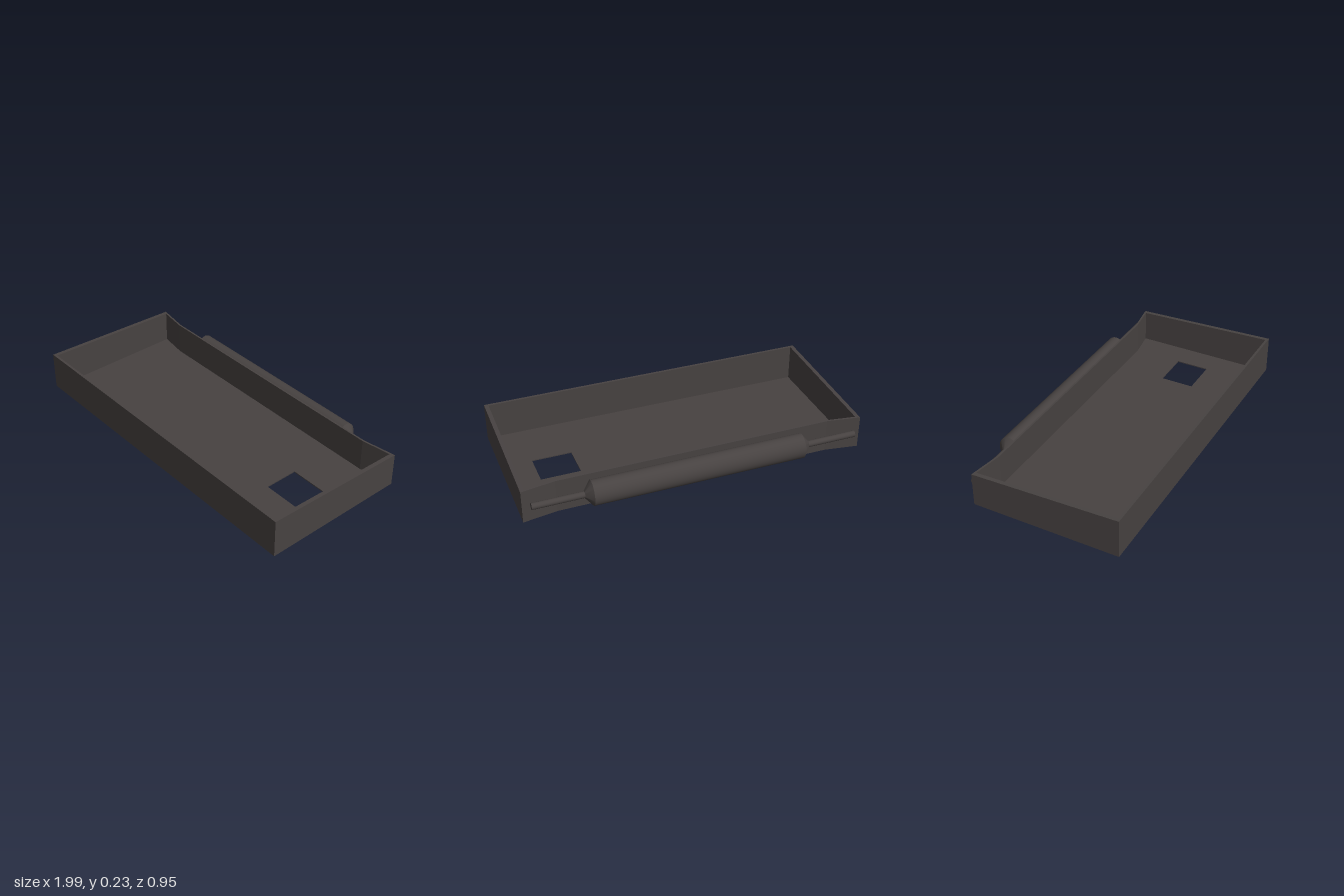
import * as THREE from 'three';
import { toCreasedNormals } from 'three/addons/utils/BufferGeometryUtils.js';

const FRONT = 0.474, BACK = -0.392;

// Mirrors a half outline (x > 0, front to back) into a closed loop of plan points
function loop(half) {
  const right = half.map(([x, z]) => new THREE.Vector2(x, -z));
  const left = half.map(([x, z]) => new THREE.Vector2(-x, -z)).reverse();
  return [...right, ...left];
}

// Raises a plan shape between two heights, each given at the front and the back
function raise(shape, bottom, top) {
  const geo = new THREE.ExtrudeGeometry(shape, { depth: 1, bevelEnabled: false });
  geo.rotateX(-Math.PI / 2);
  const p = geo.attributes.position;
  for (let i = 0; i < p.count; i++) {
    const t = (FRONT - p.getZ(i)) / (FRONT - BACK);
    const lo = THREE.MathUtils.lerp(bottom[0], bottom[1], t);
    const hi = THREE.MathUtils.lerp(top[0], top[1], t);
    p.setY(i, THREE.MathUtils.lerp(lo, hi, p.getY(i)));
  }
  geo.computeVertexNormals();
  return geo;
}

export function createModel() {
  const group = new THREE.Group();
  const charcoal = new THREE.MeshStandardMaterial({ color: 0x474241 });
  charcoal.name = 'charcoal';

  const add = (name, geo) => {
    const mesh = new THREE.Mesh(geo, charcoal);
    mesh.name = name;
    group.add(mesh);
    return mesh;
  };

  // Tray walls: flared back corners, lower towards the back
  const outer = loop([[0.995, FRONT], [0.995, BACK], [0.8, -0.361]]);
  const inner = loop([[0.971, 0.459], [0.971, -0.376], [0.8, -0.35]]);
  const wallShape = new THREE.Shape(outer);
  wallShape.holes.push(new THREE.Path(inner));
  add('trayWalls', raise(wallShape, [0, 0.008], [0.227, 0.205]));

  // Thin floor with a rectangular opening
  const floorShape = new THREE.Shape(inner);
  floorShape.holes.push(new THREE.Path([
    [0.58, -0.14], [0.58, 0.06], [0.812, 0.06], [0.812, -0.14],
  ].map(([x, y]) => new THREE.Vector2(x, y))));
  add('trayFloor', raise(floorShape, [0, 0.008], [0.006, 0.014]));

  // Roller behind the tray: slightly oval body with tapered ends
  const profile = [[0, -0.657], [0.02, -0.657], [0.073, -0.615],
    [0.073, 0.62], [0.02, 0.662], [0, 0.662]].map(([r, y]) => new THREE.Vector2(r, y));
  const body = toCreasedNormals(new THREE.LatheGeometry(profile, 32), 0.5);
  body.rotateZ(-Math.PI / 2);
  body.scale(1, 1, 0.84);
  const roller = add('roller', body);
  roller.position.set(0, 0.118, -0.414);
  roller.rotation.x = 0.2;

  // Axle ends
  for (const side of [-1, 1]) {
    const rod = new THREE.CylinderGeometry(0.019, 0.019, 0.31, 16);
    rod.rotateZ(Math.PI / 2);
    add(side > 0 ? 'leftAxle' : 'rightAxle', rod).position.set(side * 0.795, 0.118, -0.414);
  }
  return group;
}
